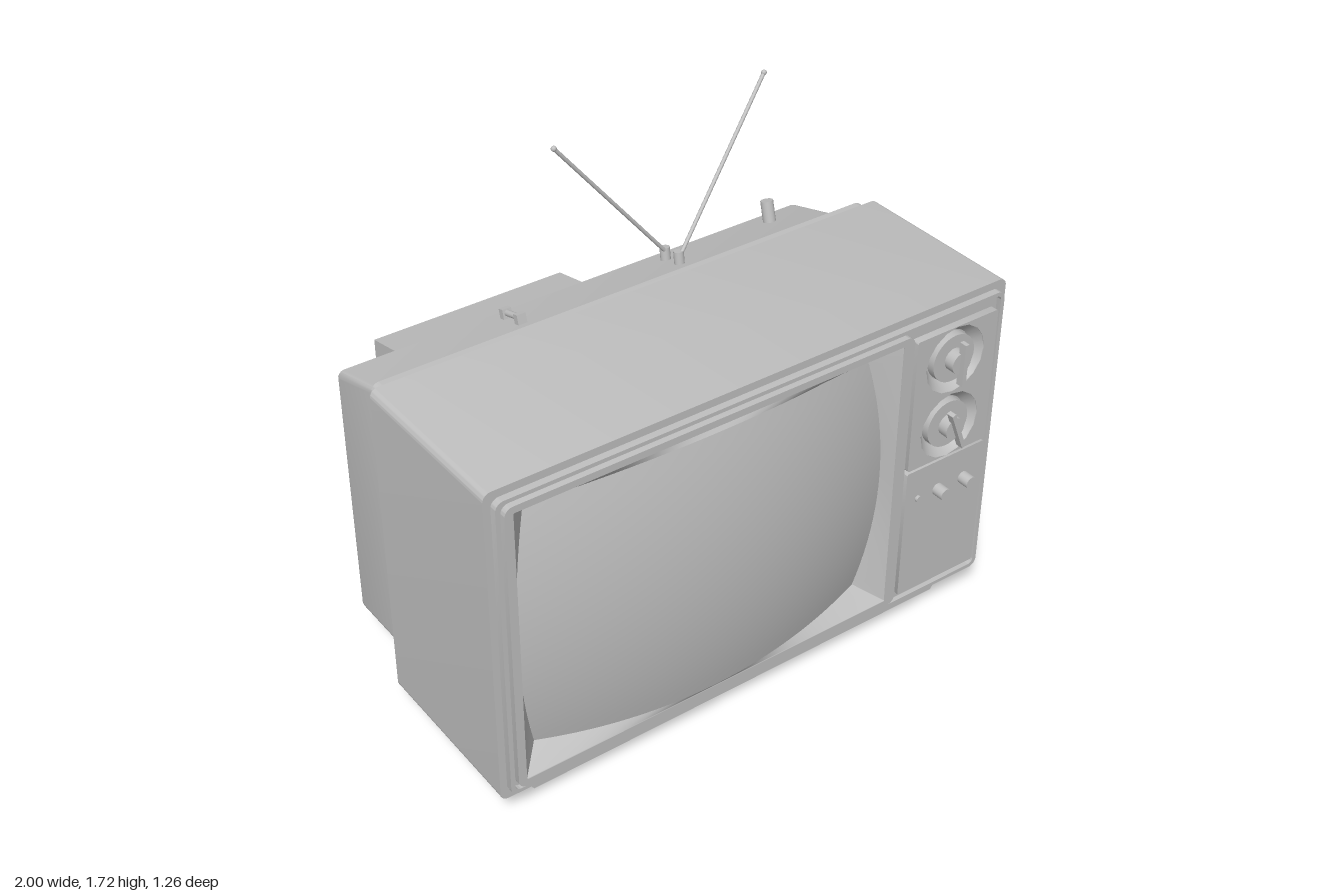
import * as THREE from 'three';
import { toCreasedNormals } from 'three/addons/utils/BufferGeometryUtils.js';

const grey = new THREE.MeshStandardMaterial({ color: 0xbfbfbf, side: THREE.DoubleSide });
grey.name = 'plain grey';

// Rounded rectangle outline from its limits
function roundRect(x0, x1, y0, y1, r, target = new THREE.Shape()) {
  const q = Math.PI / 2;
  target.absarc(x1 - r, y1 - r, r, 0, q);
  target.absarc(x0 + r, y1 - r, r, q, 2 * q);
  target.absarc(x0 + r, y0 + r, r, 2 * q, 3 * q);
  target.absarc(x1 - r, y0 + r, r, 3 * q, 4 * q);
  target.closePath();
  return target;
}

// Extrude a front-facing outline between two depths
function slab(shape, z0, z1, bevel = 0) {
  const geo = new THREE.ExtrudeGeometry(shape, {
    depth: z1 - z0 - 2 * bevel, curveSegments: 8, bevelEnabled: bevel > 0,
    bevelSize: bevel, bevelThickness: bevel, bevelOffset: -bevel, bevelSegments: 3,
  });
  return toCreasedNormals(geo.translate(0, 0, z0 + bevel), 0.6);
}

// Extrude a side profile of [z, y] points between two x limits
function sideSlab(points, x0, x1, bevel) {
  const shape = new THREE.Shape(points.map(([z, y]) => new THREE.Vector2(-z, y)));
  return slab(shape, x0, x1, bevel).rotateY(Math.PI / 2);
}

export function createModel() {
  const model = new THREE.Group();
  model.name = 'television';

  const add = (name, geo, parent = model) => {
    const mesh = new THREE.Mesh(geo, grey);
    mesh.name = name;
    parent.add(mesh);
    return mesh;
  };
  const ring = (outer, ...holes) => { outer.holes.push(...holes); return outer; };
  const hole = (...a) => roundRect(...a, new THREE.Path());
  const circle = (x, y, r) => new THREE.Path().absarc(x, y, r, 0, Math.PI * 2);

  // Cylinder running between two points
  const rod = (name, a, b, r, sides = 20, parent = model) => {
    const from = new THREE.Vector3(...a), to = new THREE.Vector3(...b);
    const dir = to.clone().sub(from);
    const mesh = add(name, new THREE.CylinderGeometry(r, r, dir.length(), sides), parent);
    mesh.position.copy(from).add(to).multiplyScalar(0.5);
    mesh.quaternion.setFromUnitVectors(new THREE.Vector3(0, 1, 0), dir.normalize());
    return mesh;
  };

  // Cabinet shell and the closing plate behind it
  add('cabinet', slab(ring(roundRect(-1, 1, 0.08, 1.28, 0.03),
    hole(-0.95, 0.95, 0.13, 1.23, 0.02)), -0.11, 0.53));
  add('backPlate', slab(roundRect(-0.97, 0.97, 0.1, 1.26, 0.03), -0.16, -0.1));

  // Rear housing with sloping top, and its tube cover
  const topY = z => 1.21 + (z + 0.16) * 0.28;
  add('rearHousing', sideSlab([[-0.12, 0.15], [-0.12, topY(-0.12)], [-0.465, topY(-0.465)],
    [-0.48, topY(-0.48) - 0.015], [-0.48, 0.165], [-0.465, 0.15]], -0.93, 0.93, 0.02));
  add('tubeCover', sideSlab([[-0.46, 0.355], [-0.46, 1.112], [-0.63, 1.075], [-0.63, 0.355]],
    -0.71, 0.02, 0));

  // Tapered foot with three buttons
  const foot = new THREE.Shape([[-0.845, 0], [0.845, 0], [0.9, 0.085], [-0.9, 0.085]]
    .map(p => new THREE.Vector2(...p)));
  add('foot', slab(foot, -0.055, 0.475));
  for (const x of [0.57, 0.69, 0.8]) rod('footButton', [x, 0.05, 0.46], [x, 0.05, 0.492], 0.02);

  // Front trim, backing plate, screen surround and control panels
  const dials = [[0.765, 1.07, 0], [0.765, 0.81, 0.37]];
  const dialHoles = r => dials.map(([x, y]) => circle(x, y, r));
  add('frontTrim', slab(ring(roundRect(-0.975, 0.975, 0.108, 1.252, 0.03),
    hole(-0.96, 0.96, 0.122, 1.238, 0.02)), 0.52, 0.555));
  add('backingPlate', slab(ring(roundRect(-0.955, 0.955, 0.125, 1.235, 0.02),
    hole(-0.92, 0.54, 0.155, 1.2, 0.01), ...dialHoles(0.125)), 0.51, 0.54));
  add('screenSurround', slab(ring(roundRect(-0.95, 0.585, 0.13, 1.225, 0.03),
    hole(-0.92, 0.54, 0.155, 1.2, 0.005)), 0.53, 0.562));
  add('dialPanel', slab(ring(roundRect(0.595, 0.94, 0.685, 1.197, 0.008),
    ...dialHoles(0.125)), 0.53, 0.567));
  add('lowerPanel', slab(roundRect(0.595, 0.94, 0.157, 0.675, 0.008), 0.53, 0.567));

  // Bulging picture tube, lying on a large sphere
  const cx = -0.19, cy = 0.678;
  const onScreen = (u, v) => {
    const dx = u * (0.65 + 0.06 * (1 - v * v)), dy = v * (0.465 + 0.043 * (1 - u * u));
    return [cx + dx, cy + dy, 0.63 - 2.2 + Math.sqrt(2.2 * 2.2 - dx * dx - dy * dy)];
  };
  const screen = new THREE.PlaneGeometry(2, 2, 28, 20);
  const sp = screen.attributes.position;
  for (let i = 0; i < sp.count; i++) sp.setXYZ(i, ...onScreen(sp.getX(i), sp.getY(i)));
  screen.computeVertexNormals();
  add('screen', screen);

  // Four sloping walls from the square opening down to the curved screen edge
  for (let k = 0; k < 4; k++) {
    const wall = new THREE.PlaneGeometry(2, 2, 28, 1);
    const wp = wall.attributes.position;
    const c = Math.round(Math.cos(k * Math.PI / 2)), s = Math.round(Math.sin(k * Math.PI / 2));
    for (let i = 0; i < wp.count; i++) {
      const t = wp.getX(i), u = c * t - s, v = s * t + c;
      if (wp.getY(i) > 0) wp.setXYZ(i, cx + u * 0.73, cy + v * 0.5225, 0.56);
      else wp.setXYZ(i, ...onScreen(u, v));
    }
    wall.computeVertexNormals();
    add('screenRecessWall', wall);
  }

  // Channel dials: dished recess, disc, hub and grip bar
  for (const [x, y, tilt] of dials) {
    const dial = new THREE.Group();
    dial.name = 'channelDial';
    dial.position.set(x, y, 0);
    dial.rotation.z = tilt;
    model.add(dial);
    const dish = [[0.126, 0.567], [0.12, 0.562], [0.092, 0.53], [0, 0.53]];
    const lathe = new THREE.LatheGeometry(dish.map(p => new THREE.Vector2(...p)), 32);
    add('dialDish', toCreasedNormals(lathe.rotateX(Math.PI / 2), 0.5), dial);
    rod('dialDisc', [0, 0, 0.525], [0, 0, 0.56], 0.088, 32, dial);
    rod('dialHub', [0, 0, 0.55], [0, 0, 0.598], 0.04, 24, dial);
    add('dialGrip', new THREE.BoxGeometry(0.016, 0.16, 0.028), dial).position.z = 0.603;
  }

  // Small controls on the lower panel
  for (const [x, r, z] of [[0.65, 0.012, 0.578], [0.74, 0.023, 0.612], [0.855, 0.023, 0.612]])
    rod('controlKnob', [x, 0.555, 0.55], [x, 0.555, z], r);

  // Aerial rods with their sockets and tips
  for (const [z, tip] of [[-0.39, [-0.14, 1.705, -0.39]], [-0.31, [0.74, 1.705, -0.435]]]) {
    const y = topY(z);
    rod('aerialSocket', [0.3, y - 0.02, z], [0.3, y + 0.045, z - 0.01], 0.018);
    rod('aerialRod', [0.3, y + 0.03, z], tip, 0.007, 10);
    add('aerialTip', new THREE.SphereGeometry(0.01, 10, 8)).position.set(...tip);
  }

  // Rear knob, small pin and cable clip on the sloping top
  rod('rearKnob', [0.75, topY(-0.39) - 0.02, -0.385], [0.75, 1.22, -0.41], 0.023);
  rod('rearPin', [0.84, topY(-0.19) - 0.02, -0.187], [0.84, 1.226, -0.193], 0.009, 12);
  for (const z of [-0.4, -0.31]) {
    const post = add('clipPost', new THREE.BoxGeometry(0.034, 0.05, 0.024));
    post.position.set(-0.34, topY(z) + 0.01, z);
    post.rotation.x = -0.27;
  }
  rod('clipBar', [-0.34, topY(-0.4) + 0.02, -0.4], [-0.34, topY(-0.31) + 0.02, -0.31], 0.011, 12);

  return model;
}
